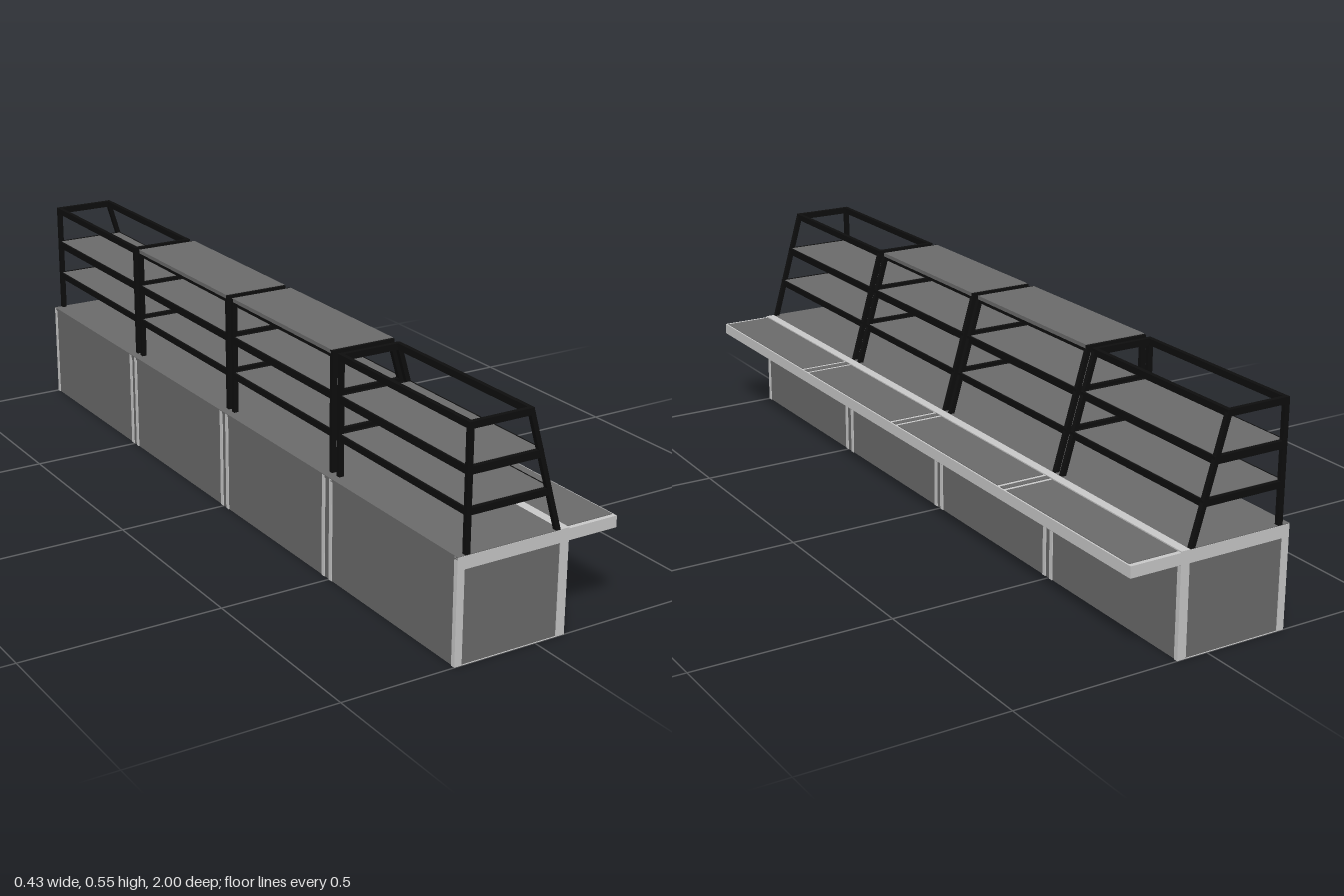
import * as THREE from 'three';

const paint = (c) => new THREE.MeshStandardMaterial({ color: c });
const light = paint(0xcccccc), dark = paint(0x6c6c6c), black = paint(0x0e0e0e);

// z extents of the four counter bays; the two end bays have open tops
const BAYS = [
  { z0: 0.5, z1: 1, open: true },
  { z0: 0.014, z1: 0.481, open: false },
  { z0: -0.488, z1: -0.002, open: false },
  { z0: -1, z1: -0.504, open: true },
];
const BACK = -0.189, TOP = 0.545, DECK = 0.257, BAR = 0.012;
// x of the sloping front post at height y
const slopeX = (y) => 0.05 - 0.084 * (y - DECK) / (TOP - DECK);

// box given by its minimum and maximum corners
function box(parent, name, mat, x0, x1, y0, y1, z0, z1) {
  const mesh = new THREE.Mesh(new THREE.BoxGeometry(x1 - x0, y1 - y0, z1 - z0), mat);
  mesh.position.set((x0 + x1) / 2, (y0 + y1) / 2, (z0 + z1) / 2);
  mesh.name = name;
  parent.add(mesh);
}

// outline in x/y extruded along z
function plate(parent, name, mat, pts, z0, depth, hole) {
  const toVec = (p) => new THREE.Vector2(p[0], p[1]);
  const shape = new THREE.Shape(pts.map(toVec));
  if (hole) shape.holes.push(new THREE.Path(hole.map(toVec)));
  const mesh = new THREE.Mesh(new THREE.ExtrudeGeometry(shape, { depth, bevelEnabled: false }), mat);
  mesh.position.z = z0;
  mesh.name = name;
  parent.add(mesh);
}

function counterBase() {
  const g = new THREE.Group();
  g.name = 'counterBase';
  box(g, 'cabinet', dark, -0.213, 0.078, 0, 0.254, -0.998, 0.998);
  box(g, 'worktop', dark, -0.215, 0.057, 0.25, DECK, -0.999, 0.999);
  box(g, 'frontTrim', light, 0.057, 0.08, 0.226, DECK, -1, 1);
  // overhanging service ledge
  box(g, 'ledge', light, 0.08, 0.212, 0.226, 0.254, -1, 1);
  box(g, 'ledgeUnderside', dark, 0.08, 0.211, 0.225, 0.227, -0.999, 0.999);
  for (let i = 0; i < 4; i++) {
    const { z0, z1 } = BAYS[i];
    box(g, 'ledgePanel', dark, 0.082, 0.208, 0.25, 0.2555, z0 + 0.011, z1 - 0.011);
    if (i < 3) box(g, 'ledgeSeam', dark, 0.08, 0.208, 0.25, 0.2555, BAYS[i + 1].z1, z0);
    // light frames round both ends of each bay
    for (const z of [z0, z1 - 0.012]) {
      plate(g, 'bayFrame', light,
        [[-0.215, 0], [0.08, 0], [0.08, 0.2555], [-0.215, 0.2555]], z, 0.012,
        [[-0.196, 0.001], [-0.196, 0.225], [0.057, 0.225], [0.057, 0.001]]);
    }
  }
  return g;
}

function shelfRack({ z0, z1, open }) {
  const g = new THREE.Group();
  g.name = 'shelfRack';
  const h = BAR / 2;
  const levels = [[0.353, 0.016], [0.445, 0.018], [TOP, 0.016]];
  // end frames: upright back post, sloping front post, cross bars
  for (const z of [z0, z1 - BAR]) {
    box(g, 'backPost', black, BACK - h, BACK + h, DECK, TOP + 0.008, z, z + BAR);
    const t = slopeX(TOP + 0.008), b = slopeX(DECK);
    plate(g, 'frontPost', black,
      [[b - h, DECK], [b + h, DECK], [t + h, TOP + 0.008], [t - h, TOP + 0.008]], z, BAR);
    for (const [y, s] of levels)
      box(g, 'crossBar', black, BACK, slopeX(y), y - s / 2, y + s / 2, z + 0.0005, z + BAR - 0.0005);
  }
  // long rails and shelf boards
  levels.forEach(([y, s], i) => {
    for (const x of [BACK, slopeX(y)])
      box(g, 'longRail', black, x - h + 0.0005, x + h - 0.0005, y - s / 2, y + s / 2, z0 + 0.001, z1 - 0.001);
    if (i < 2) box(g, 'shelf', dark, BACK, slopeX(y), y - 0.003, y + s / 2 + 0.001, z0 + BAR, z1 - BAR);
    else if (!open) box(g, 'topPanel', dark, BACK - h, slopeX(y) + h, y, y + 0.0095, z0 + 0.008, z1 - 0.008);
  });
  return g;
}

export function createModel() {
  const model = new THREE.Group();
  model.name = 'servingCounter';
  model.add(counterBase());
  for (const bay of BAYS) model.add(shelfRack(bay));
  return model;
}
